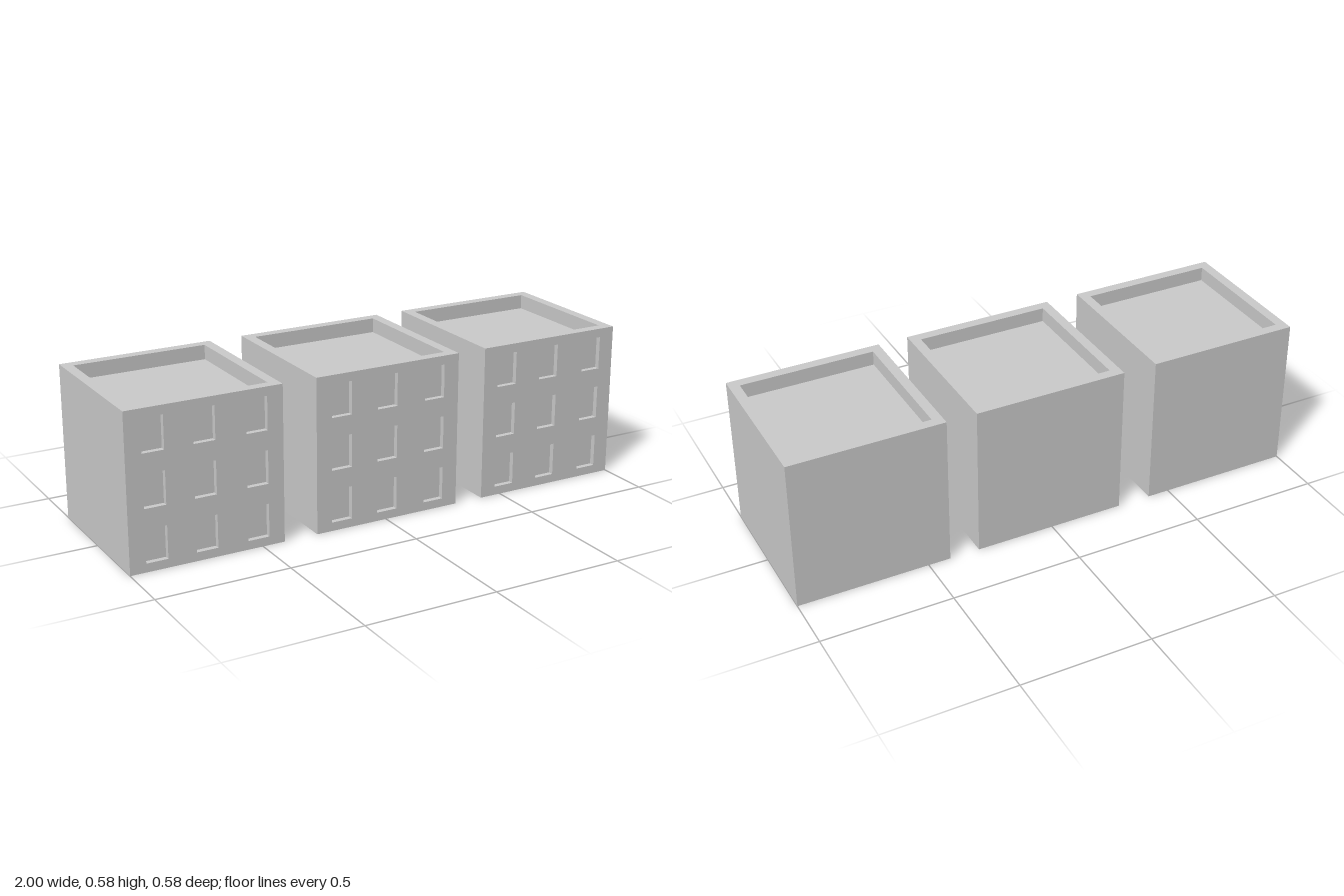
import * as THREE from 'three';
import { mergeGeometries } from 'three/addons/utils/BufferGeometryUtils.js';

const SIZE = 0.585, HALF = SIZE / 2;
const material = new THREE.MeshStandardMaterial({ color: 0xcccccc, side: THREE.DoubleSide });

function rect(target, x, y, w, h) {
  target.moveTo(x - w / 2, y - h / 2);
  target.lineTo(x + w / 2, y - h / 2);
  target.lineTo(x + w / 2, y + h / 2);
  target.lineTo(x - w / 2, y + h / 2);
  target.closePath();
  return target;
}

// Inside-out box without its front: the sides and back of a recess
function pocket({ x, y, w, h }, depth) {
  const box = new THREE.BoxGeometry(w, h, depth);
  const index = Array.from(box.index.array);
  index.splice(24, 6);
  box.setIndex(index);
  box.clearGroups();
  box.scale(-1, 1, 1);
  box.computeVertexNormals();
  return box.translate(x, y, -depth / 2);
}

// Square panel facing +z with rectangular recesses
function recessedPanel(recesses, depth) {
  const shape = rect(new THREE.Shape(), 0, 0, SIZE, SIZE);
  for (const r of recesses) shape.holes.push(rect(new THREE.Path(), r.x, r.y, r.w, r.h));
  return mergeGeometries([new THREE.ShapeGeometry(shape), ...recesses.map(r => pocket(r, depth))]);
}

function add(group, name, geometry) {
  const mesh = new THREE.Mesh(geometry, material);
  mesh.name = name;
  group.add(mesh);
}

function building() {
  const group = new THREE.Group();

  // Front wall with a three by three grid of windows
  const windows = [];
  for (const y of [0.197, 0, -0.198])
    for (const x of [-0.192, -0.005, 0.192]) windows.push({ x, y, w: 0.081, h: 0.124 });
  add(group, 'frontWall', recessedPanel(windows, 0.02).translate(0, HALF, HALF));

  // Plain side and back walls; the underside stays open
  ['leftWall', 'backWall', 'rightWall'].forEach((name, i) => {
    const wall = new THREE.PlaneGeometry(SIZE, SIZE).translate(0, HALF, HALF);
    add(group, name, wall.rotateY((i + 1) * Math.PI / 2));
  });

  // Parapet rim around a sunken flat roof
  const roof = recessedPanel([{ x: 0, y: 0, w: 0.508, h: 0.508 }], 0.055);
  add(group, 'roof', roof.rotateX(-Math.PI / 2).translate(0, SIZE, 0));
  return group;
}

export function createModel() {
  const model = new THREE.Group();
  model.name = 'buildingRow';
  [-1 + HALF, 0.008, 1 - HALF].forEach((x, i) => {
    const block = building();
    block.name = ['rightBuilding', 'middleBuilding', 'leftBuilding'][i];
    block.position.x = x;
    model.add(block);
  });
  return model;
}
